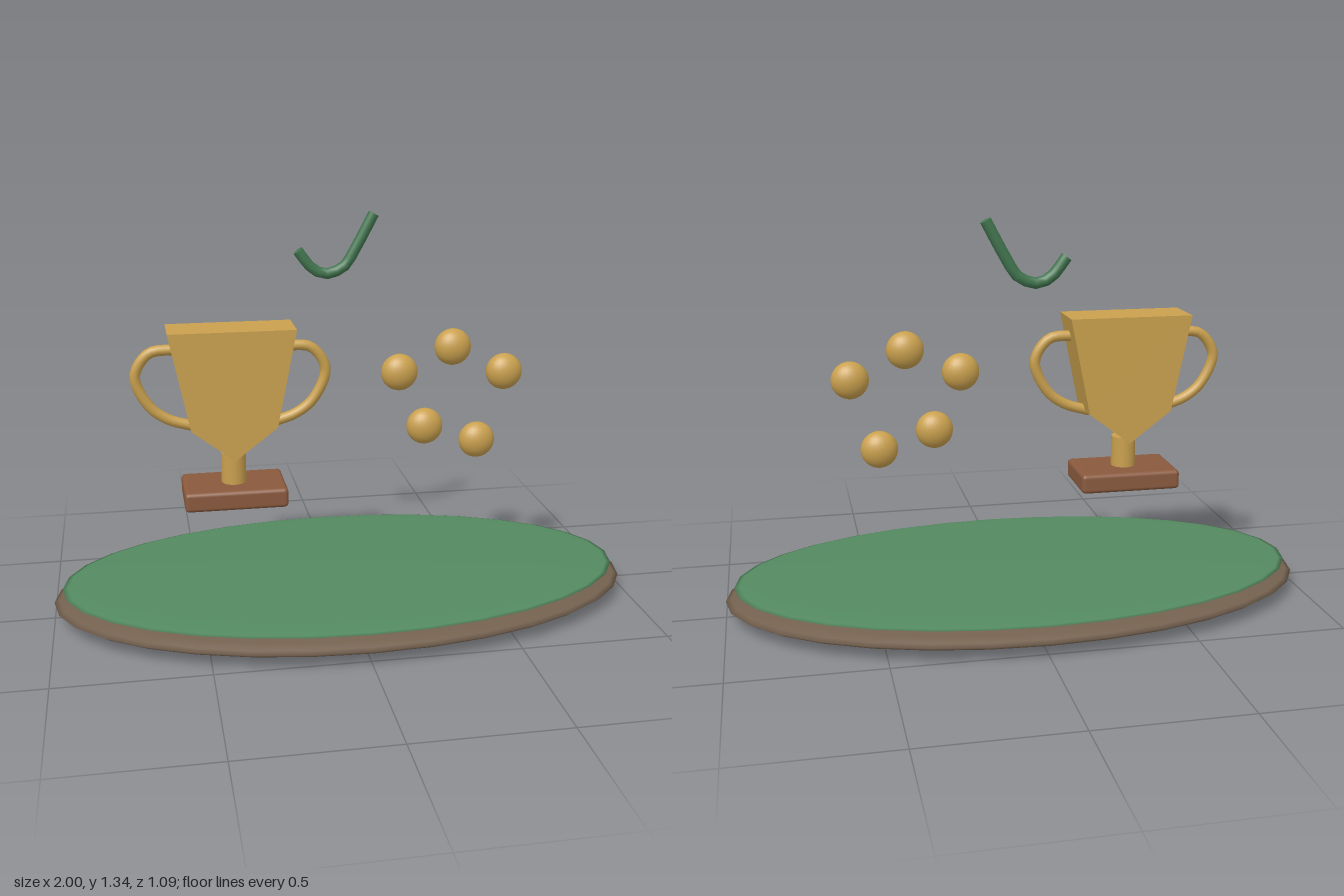
import * as THREE from 'three';
import { RoundedBoxGeometry } from 'three/addons/geometries/RoundedBoxGeometry.js';

const paint = (color) => new THREE.MeshStandardMaterial({ color });

export function createModel() {
  const model = new THREE.Group();
  const gold = paint(0xc9a04e), wood = paint(0x8a5a3e), leaf = paint(0x42764f);
  const turf = paint(0x548a60), earth = paint(0x74614f);

  const add = (parent, name, geometry, material, x = 0, y = 0, z = 0) => {
    const mesh = new THREE.Mesh(geometry, material);
    mesh.name = name;
    mesh.position.set(x, y, z);
    parent.add(mesh);
    return mesh;
  };

  // Tube along flat points, closed by a disc at each end
  const cappedTube = (name, points, radius, material, segments) => {
    const group = new THREE.Group();
    group.name = name;
    const curve = new THREE.CatmullRomCurve3(points.map(([x, y]) => new THREE.Vector3(x, y, 0)));
    add(group, name + 'Tube', new THREE.TubeGeometry(curve, segments, radius, 10), material);
    for (const t of [0, 1]) {
      const end = curve.getPoint(t);
      const cap = add(group, name + 'Cap', new THREE.CircleGeometry(radius, 10), material, end.x, end.y);
      const outward = curve.getTangent(t).multiplyScalar(t ? 1 : -1);
      cap.lookAt(end.clone().add(outward));
    }
    return group;
  };

  // Oval ground: earth lens with a thinner turf lens on top
  add(model, 'earthDisc', new THREE.SphereGeometry(1, 32, 16), earth, 0, 0.058, 0).scale.set(1, 0.056, 0.545);
  add(model, 'turfDisc', new THREE.SphereGeometry(1, 32, 16), turf, 0, 0.105, 0).scale.set(0.97, 0.018, 0.522);

  // Trophy, built around its own vertical axis
  const trophy = new THREE.Group();
  trophy.name = 'trophy';
  trophy.position.x = -0.378;
  model.add(trophy);

  const outline = new THREE.Shape(
    [[-0.21, 0.993], [-0.143, 0.665], [0, 0.556], [0.143, 0.665], [0.21, 0.993]]
      .map(([x, y]) => new THREE.Vector2(x, y)));
  const cup = new THREE.ExtrudeGeometry(outline, { depth: 0.164, bevelEnabled: false });
  add(trophy, 'cup', cup.translate(0, 0, -0.082), gold);
  add(trophy, 'stem', new THREE.CylinderGeometry(0.042, 0.042, 0.13, 20), gold, 0, 0.5, 0);
  add(trophy, 'plinth', new RoundedBoxGeometry(0.345, 0.067, 0.225, 3, 0.014), wood, 0, 0.426, 0);

  for (const side of [1, -1]) {
    const path = [[0.18, 0.925], [0.268, 0.915], [0.316, 0.84], [0.275, 0.738], [0.216, 0.69], [0.125, 0.66]];
    trophy.add(cappedTube(side > 0 ? 'leftHandle' : 'rightHandle',
      path.map(([x, y]) => [x * side, y]), 0.018, gold, 24));
  }

  // Five slightly flattened balls
  const balls = [[0.192, 0.815], [0.377, 0.896], [0.561, 0.802], [0.283, 0.62], [0.47, 0.561]];
  const ballGeometry = new THREE.SphereGeometry(0.063, 24, 16);
  balls.forEach(([x, y], i) => add(model, 'ball' + (i + 1), ballGeometry, gold, x, y).scale.z = 0.74);

  // Bent green stalk floating behind
  const stalk = cappedTube('stalk',
    [[-0.128, 1.212], [-0.082, 1.153], [-0.035, 1.13], [0.03, 1.153], [0.068, 1.21], [0.134, 1.332]], 0.019, leaf, 12);
  stalk.position.z = -0.166;
  model.add(stalk);

  return model;
}
